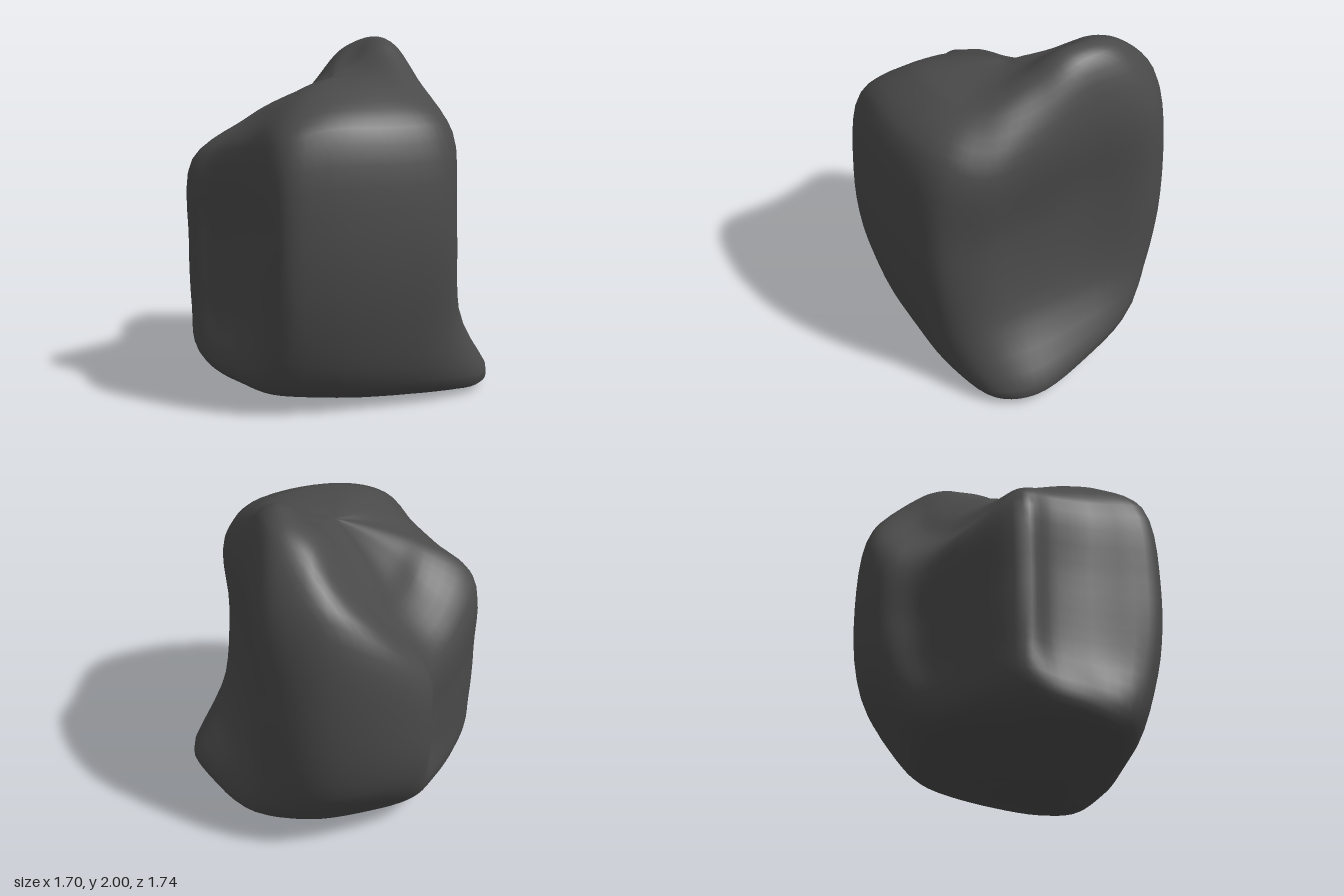
import * as THREE from 'three';
import { mergeVertices } from 'three/addons/utils/BufferGeometryUtils.js';

const COLUMNS = 80; // samples around
const ROWS = 45;    // samples from underside to summit

// Each ring runs left tip -> front -> right -> back
const foot = [
  [-0.8, 0.24, 0], [-0.77, 0.2, 0.2], [-0.69, 0.18, 0.4], [-0.55, 0.14, 0.6],
  [-0.25, 0.13, 0.69], [0.1, 0.11, 0.7], [0.45, 0.08, 0.67], [0.74, 0.05, 0.55],
  [0.85, 0.07, 0.35], [0.78, 0.11, -0.02], [0.61, 0.18, -0.43], [0.32, 0.22, -0.6],
  [-0.02, 0.21, -0.61], [-0.32, 0.21, -0.57], [-0.5, 0.2, -0.41], [-0.68, 0.22, -0.21],
];
// Widest outline of the walls, as x and z
const wall = [
  [-0.84, 0], [-0.71, 0.17], [-0.61, 0.4], [-0.53, 0.79],
  [-0.32, 0.86], [0.15, 0.855], [0.46, 0.765], [0.55, 0.55],
  [0.535, 0.25], [0.53, -0.15], [0.55, -0.58], [0.32, -0.81],
  [-0.05, -0.86], [-0.35, -0.74], [-0.43, -0.51], [-0.65, -0.3],
];
// Shoulder where walls turn into the top
const rim = [
  [-0.81, 1.34, -0.01], [-0.7, 1.4, 0.17], [-0.59, 1.45, 0.4], [-0.51, 1.5, 0.72],
  [-0.27, 1.57, 0.78], [0.1, 1.57, 0.78], [0.42, 1.56, 0.68], [0.56, 1.5, 0.5],
  [0.575, 1.53, 0.22], [0.56, 1.62, -0.15], [0.53, 1.58, -0.56], [0.28, 1.64, -0.73],
  [-0.03, 1.48, -0.78], [-0.33, 1.2, -0.705], [-0.43, 1.1, -0.5], [-0.64, 1.18, -0.29],
];
const crown = [
  [-0.52, 1.55, 0.02], [-0.5, 1.58, 0.15], [-0.45, 1.63, 0.3], [-0.35, 1.69, 0.52],
  [-0.2, 1.73, 0.55], [0.05, 1.745, 0.55], [0.28, 1.74, 0.48], [0.4, 1.75, 0.36],
  [0.46, 1.82, 0.12], [0.465, 1.94, -0.14], [0.42, 1.94, -0.4], [0.25, 1.89, -0.5],
  [0.05, 1.68, -0.52], [-0.15, 1.44, -0.49], [-0.26, 1.37, -0.36], [-0.43, 1.42, -0.15],
];
// Heights of the two innermost rings: peak on the right, gully at the back left
const summitHeights = [1.63, 1.65, 1.69, 1.74, 1.765, 1.775, 1.78, 1.81,
  1.89, 1.99, 1.99, 1.915, 1.74, 1.58, 1.54, 1.57];
const saddleHeights = [1.72, 1.73, 1.755, 1.775, 1.785, 1.79, 1.8, 1.81,
  1.83, 1.855, 1.86, 1.835, 1.78, 1.73, 1.7, 1.7];
const centre = [0, 1.785, 0.05];

const mix = THREE.MathUtils.lerp;
const towardCentre = (heights, t) =>
  crown.map(([x, , z], i) => [mix(x, centre[0], t), heights[i], mix(z, centre[2], t)]);

function createRockGeometry() {
  const rings = [
    foot.map(() => [0.02, 0, 0.05]),                                   // underside centre
    foot.map(([x, , z]) =>                                             // sole, lifted left and back
      [x * 0.75, 0.02 + Math.max(0, -x) * 0.08 + Math.max(0, -z) * 0.08, z * 0.75]),
    foot,
    foot.map(([x, , z], i) => [mix(x, wall[i][0], 0.77), 0.5, mix(z, wall[i][1], 0.77)]),
    wall.map(([x, z], i) => [x, rim[i][1] * 0.66, z]),
    rim,
    crown,
    towardCentre(summitHeights, 0.25),
    towardCentre(saddleHeights, 0.65),
    crown.map(() => centre),
  ].map(ring => new THREE.CatmullRomCurve3(ring.map(p => new THREE.Vector3(...p)), true));

  // Smooth around each ring, then smooth up each column
  const positions = [], index = [];
  for (let c = 0; c < COLUMNS; c++) {
    const column = new THREE.CatmullRomCurve3(rings.map(ring => ring.getPoint(c / COLUMNS)));
    for (let r = 0; r <= ROWS; r++) {
      const p = column.getPoint(r / ROWS);
      positions.push(p.x, Math.max(0, p.y), p.z);
    }
  }
  const at = (c, r) => (c % COLUMNS) * (ROWS + 1) + r;
  for (let c = 0; c < COLUMNS; c++) {
    for (let r = 0; r < ROWS; r++) {
      const a = at(c, r), b = at(c + 1, r), d = at(c, r + 1), e = at(c + 1, r + 1);
      if (r > 0) index.push(a, b, d);
      if (r < ROWS - 1) index.push(b, e, d);
    }
  }
  const raw = new THREE.BufferGeometry();
  raw.setAttribute('position', new THREE.Float32BufferAttribute(positions, 3));
  raw.setIndex(index);
  const geometry = mergeVertices(raw, 1e-5);
  geometry.computeVertexNormals();
  return geometry;
}

export function createModel() {
  const group = new THREE.Group();
  group.name = 'boulder';
  const stone = new THREE.MeshStandardMaterial({ color: 0x4a4a4a });
  stone.name = 'dark stone';
  const rock = new THREE.Mesh(createRockGeometry(), stone);
  rock.name = 'rock';
  group.add(rock);
  return group;
}
